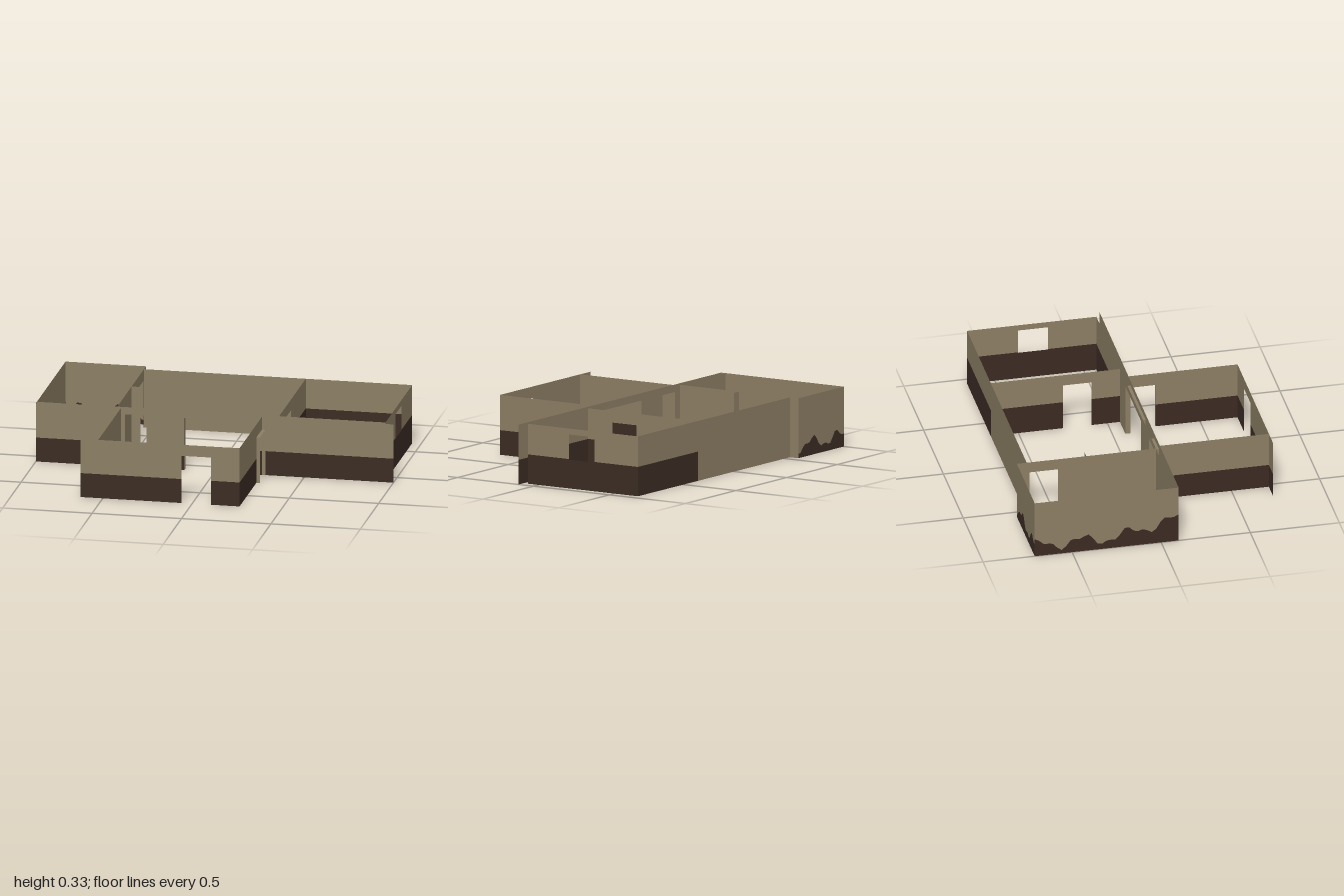
import * as THREE from 'three';

const H = 0.333;

export function createModel() {
  const root = new THREE.Group();
  const plaster = new THREE.MeshStandardMaterial({ color: 0x8c7e64, side: THREE.DoubleSide });
  plaster.name = 'tan plaster';
  const stain = new THREE.MeshStandardMaterial({ color: 0x3b2b23, side: THREE.DoubleSide });
  stain.name = 'dark brown dado';

  function addMesh(parent, name, positions, material) {
    if (!positions.length) return;
    const geo = new THREE.BufferGeometry();
    geo.setAttribute('position', new THREE.Float32BufferAttribute(positions, 3));
    geo.computeVertexNormals();
    const mesh = new THREE.Mesh(geo, material);
    mesh.name = name;
    parent.add(mesh);
  }

  // Thin upright wall from [x,z] to [x,z]. dado(u) is the height of the dark band,
  // holes are [start, end, bottom, top] along the axis the wall runs on.
  function wall(name, a, b, dado, holes = [], steps = 1) {
    const axis = Math.abs(b[0] - a[0]) > 1e-6 ? 0 : 1;
    const lo = Math.min(a[axis], b[axis]), hi = Math.max(a[axis], b[axis]);
    const band = typeof dado === 'function' ? dado : () => dado;
    const cuts = [lo, hi];
    for (let i = 1; i < steps; i++) cuts.push(lo + (hi - lo) * i / steps);
    holes.forEach(h => cuts.push(h[0], h[1]));
    const us = [...new Set(cuts)].sort((p, q) => p - q);
    const light = [], dark = [];
    const point = (u, y) => axis === 0 ? [u, y, a[1]] : [a[0], y, u];
    const quad = (list, u0, u1, b0, b1, t0, t1) => {
      if (t0 - b0 < 1e-4 && t1 - b1 < 1e-4) return;
      const p = point(u0, b0), q = point(u1, b1), r = point(u1, t1), s = point(u0, t0);
      // outward order is the same for both axes thanks to the double-sided paint
      list.push(...p, ...q, ...r, ...p, ...r, ...s);
    };
    for (let i = 0; i < us.length - 1; i++) {
      const u0 = us[i], u1 = us[i + 1], mid = (u0 + u1) / 2;
      const hole = holes.find(h => mid > h[0] && mid < h[1]);
      const spans = hole ? [[0, hole[2]], [hole[3], H]] : [[0, H]];
      for (const [y0, y1] of spans) {
        if (y1 - y0 < 1e-4) continue;
        const d0 = THREE.MathUtils.clamp(band(u0), y0, y1);
        const d1 = THREE.MathUtils.clamp(band(u1), y0, y1);
        quad(dark, u0, u1, y0, y0, d0, d1);
        quad(light, u0, u1, d0, d1, y1, y1);
      }
    }
    const g = new THREE.Group();
    g.name = name;
    addMesh(g, name + 'Plaster', light, plaster);
    addMesh(g, name + 'Dado', dark, stain);
    root.add(g);
  }

  // Door lining between two wall faces: two jambs and a lintel
  function lining(name, x0, x1, z0, z1, top, alongX) {
    const p = [];
    const quad = (a, b, c, d) => p.push(...a, ...b, ...c, ...a, ...c, ...d);
    quad([x0, top, z0], [x1, top, z0], [x1, top, z1], [x0, top, z1]);
    if (alongX) for (const x of [x0, x1]) quad([x, 0, z0], [x, 0, z1], [x, top, z1], [x, top, z0]);
    else for (const z of [z0, z1]) quad([x0, 0, z], [x1, 0, z], [x1, top, z], [x0, top, z]);
    addMesh(root, name, p, plaster);
  }

  const zOut = 0.098, zIn = 0.07, back = -0.655, deep = -0.71;
  const low = 0.137, high = 0.163;
  const passages = [[-0.5, -0.38, 0, 0.3], [-0.17, 0.22, 0, 0.3]];
  const wave = u => 0.065 + 0.03 * Math.sin(u * 25) + 0.015 * Math.sin(u * 61 + 1);
  const sideWave = u => wave(u) + 0.07 * THREE.MathUtils.smoothstep(u, -0.3, 0.1);

  // Front room
  wall('frontWall', [-0.625, 0.71], [0.265, 0.71], low, [[-0.06, 0.105, 0, 0.27]]);
  wall('frontRoomLeftWall', [0.265, zOut], [0.265, 0.71], low, [[0.102, 0.25, 0, 0.26]]);
  wall('frontRoomRightWall', [-0.525, zOut], [-0.525, 0.71], low);
  lining('sideDoorLining', 0.265, 0.285, 0.102, 0.25, 0.26, false);

  // Long dividing wall: outer face and inner face, joined in the passages
  wall('dividerOuterFace', [-1, zOut], [0.265, zOut], low, passages);
  wall('dividerOuterReturn', [0.265, zOut], [0.285, zOut], 0);
  wall('dividerOuterFaceLeft', [0.285, zOut], [1, zOut], low);
  wall('dividerInnerFaceMiddle', [-0.55, zIn], [0.355, zIn], 0, passages);
  wall('dividerInnerFaceLeft', [0.355, zIn], [0.95, zIn], high);
  wall('dividerInnerFaceRight', [-1, zIn], [-0.55, zIn], wave, [], 16);
  for (const [x0, x1, , top] of passages) lining('passageLining', x0, x1, zIn, zOut, top, true);

  // Left room with window and inner door
  wall('leftRoomOuterWall', [0.95, back], [0.95, zIn], high, [[-0.37, -0.2, 0.16, 0.3]]);
  wall('leftRoomBackWall', [0.355, back], [0.95, back], high);
  wall('leftRoomPartition', [0.355, back], [0.355, zIn], high, [[-0.25, -0.09, 0, 0.27]]);
  addMesh(root, 'innerDoorLintel', [
    0.352, 0.27, -0.25, 0.358, 0.27, -0.25, 0.358, 0.27, -0.09,
    0.352, 0.27, -0.25, 0.358, 0.27, -0.09, 0.352, 0.27, -0.09], plaster);

  // Middle room
  wall('middleBackWall', [-0.55, back], [0.355, back], 0);

  // Right room, set further back, with uneven damp marks
  wall('rightRoomPartition', [-0.55, deep], [-0.55, zIn], 0, [[-0.64, -0.48, 0, 0.27]]);
  wall('partitionStub', [-0.55, -0.32], [-0.5, -0.32], 0);
  wall('rightRoomBackWall', [-1, deep], [-0.55, deep], wave, [], 20);
  wall('rightRoomOuterWall', [-1, deep], [-1, zOut], sideWave, [], 32);

  return root;
}
